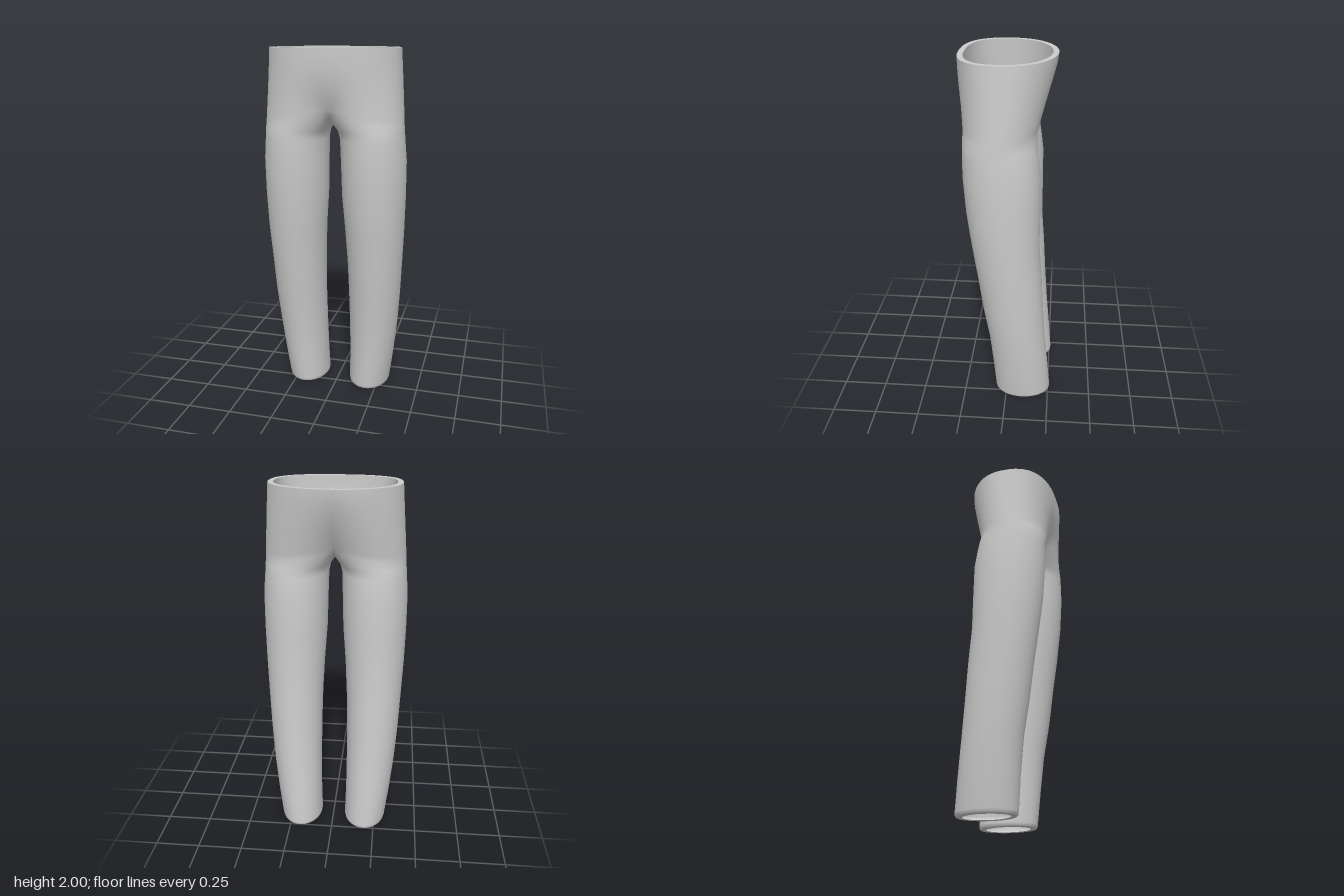
import * as THREE from 'three';
import { mergeVertices } from 'three/addons/utils/BufferGeometryUtils.js';

const OUTER = 28, INNER = 10, TORSO_ROWS = 12, THICK = 0.03;
const OPEN = THREE.MathUtils.degToRad(48); // where the leg ring meets the centre plane
const CROTCH_Y = 1.6, CROTCH_RISE = 0.05;

// Leg sections: height, outer x, inner x, front z, back z
const legSections = [
  [1.6, 0.385, -0.058, 0.23, -0.157],
  [1.565, 0.387, 0.025, 0.23, -0.158],
  [1.52, 0.39, 0.036, 0.23, -0.165],
  [1.4, 0.4, 0.04, 0.23, -0.18],
  [1.2, 0.4, 0.045, 0.216, -0.182],
  [1.0, 0.395, 0.06, 0.19, -0.182],
  [0.8, 0.385, 0.07, 0.16, -0.198],
  [0.6, 0.375, 0.075, 0.134, -0.21],
  [0.4, 0.36, 0.076, 0.1, -0.225],
  [0.2, 0.338, 0.075, 0.08, -0.244],
  [0.02, 0.314, 0.07, 0.066, -0.26],
  [0.006, 0.31, 0.073, 0.063, -0.258],
  [0, 0.304, 0.079, 0.057, -0.252],
];

// Closed ring: front centre, round the outside to the back, then along the inside
function legRing([y, xo, xi, zf, zb], isCrotch) {
  const ring = [];
  for (let i = 0; i < OUTER + INNER; i++) {
    const inside = i >= OUTER;
    const a = inside
      ? 2 * Math.PI - 3 * OPEN + ((i - OUTER) / INNER) * 2 * OPEN + 2 * OPEN - OPEN + OPEN
      : -OPEN + (i / OUTER) * 2 * Math.PI * (1 - OPEN / Math.PI);
    // the inside arc spans the remaining angle, centred on the inner side
    const full = 2 * Math.PI - 2 * (Math.PI / 2 - OPEN);
    const ang = inside
      ? -OPEN + full + ((i - OUTER) / INNER) * (2 * Math.PI - full)
      : -OPEN + (i / OUTER) * full;
    let x = (xo + xi) / 2 + ((xo - xi) / 2) * Math.sin(ang);
    const z = (zf + zb) / 2 + ((zf - zb) / 2) * Math.cos(ang);
    let h = y;
    if (isCrotch) {
      if (inside || i === 0) x = 0;
      const v = inside ? 1 - (2 * (i - OUTER)) / INNER : Math.cos((i / OUTER) * Math.PI);
      h += CROTCH_RISE * (inside ? v * v : v ** 4);
    }
    ring.push(new THREE.Vector3(x, h, z));
  }
  return ring;
}

// Half of the waist outline: squarer in front, rounder behind
function waistPoint(u) {
  const c = Math.cos(u * Math.PI), s = Math.sin(u * Math.PI);
  const p = c > 0 ? 2 / 2.6 : 2 / 2.05;
  const x = u === 0 || u === 1 ? 0 : 0.355 * Math.pow(s, p);
  return new THREE.Vector3(x, 2, c > 0 ? 0.01 + 0.252 * Math.pow(c, p) : 0.01 - 0.265 * Math.pow(-c, p));
}

// Torso rows run from the waist down into the top of the leg ring
function torsoRows(crotchArc) {
  const rows = [];
  for (let r = 0; r <= TORSO_ROWS; r++) {
    const t = r / TORSO_ROWS;
    rows.push(crotchArc.map((end, j) => {
      if (r === TORSO_ROWS) return end;
      const u = j / OUTER, w = waistPoint(u);
      const s = Math.pow(t, 2 + 0.45 * Math.cos(u * Math.PI));
      return new THREE.Vector3(
        THREE.MathUtils.lerp(w.x, end.x, THREE.MathUtils.lerp(s, t, Math.sin(u * Math.PI))),
        THREE.MathUtils.lerp(w.y, end.y, t),
        THREE.MathUtils.lerp(w.z, end.z, s));
    }));
  }
  return rows;
}

// Adds a grid of points and its mirror image as triangles
function addGrid(out, rows, closed) {
  const n = rows[0].length;
  const tri = (a, b, c) => {
    for (const p of [a, b, c]) out.push(p.x, p.y, p.z);
    for (const p of [a, c, b]) out.push(-p.x, p.y, p.z);
  };
  for (let r = 0; r < rows.length - 1; r++) {
    for (let j = 0; j < (closed ? n : n - 1); j++) {
      const k = (j + 1) % n;
      const a = rows[r][j], b = rows[r][k], c = rows[r + 1][j], d = rows[r + 1][k];
      tri(a, c, b);
      tri(b, c, d);
    }
  }
}

function geometryFrom(positions, index) {
  const g = new THREE.BufferGeometry();
  g.setAttribute('position', new THREE.Float32BufferAttribute(positions, 3));
  if (index) g.setIndex(index);
  return g;
}

export function createModel() {
  const group = new THREE.Group();
  group.name = 'trousers';
  const material = new THREE.MeshStandardMaterial({ color: 0xcccccc, roughness: 0.8 });
  const add = (name, geometry) => {
    geometry.computeVertexNormals();
    const mesh = new THREE.Mesh(geometry, material);
    mesh.name = name;
    group.add(mesh);
  };

  // Outer cloth: both legs and the torso welded into one smooth skin
  const legs = legSections.map((s, i) => legRing(s, i === 0));
  const soup = [];
  addGrid(soup, torsoRows(legs[0].slice(0, OUTER + 1)), false);
  addGrid(soup, legs, true);
  const outer = mergeVertices(geometryFrom(soup), 1e-4);
  add('outerCloth', outer);

  // Lining: the skin moved inward along its normals, facing the other way
  const pos = outer.attributes.position, nor = outer.attributes.normal;
  const index = Array.from(outer.index.array);
  const inner = [];
  for (let i = 0; i < pos.count; i++) {
    const p = new THREE.Vector3().fromBufferAttribute(pos, i);
    const n = new THREE.Vector3().fromBufferAttribute(nor, i);
    const atRim = p.y > 1.999 || p.y < 0.01;
    if (atRim) n.setY(0).normalize();
    inner.push(...p.addScaledVector(n, -THICK).toArray());
  }
  const flipped = [];
  for (let i = 0; i < index.length; i += 3) flipped.push(index[i], index[i + 2], index[i + 1]);
  add('lining', geometryFrom(inner, flipped));

  // Rims: close the waist and hems along every open edge
  const edges = new Set();
  const each = (fn) => {
    for (let i = 0; i < index.length; i += 3)
      for (let k = 0; k < 3; k++) fn(index[i + k], index[i + ((k + 1) % 3)]);
  };
  each((a, b) => edges.add(a + '_' + b));
  const rim = [];
  const o = (i) => [pos.getX(i), pos.getY(i), pos.getZ(i)];
  const n = (i) => inner.slice(i * 3, i * 3 + 3);
  each((a, b) => {
    if (!edges.has(b + '_' + a)) rim.push(...o(b), ...o(a), ...n(a), ...o(b), ...n(a), ...n(b));
  });
  add('waistAndHemRims', geometryFrom(rim));
  return group;
}
